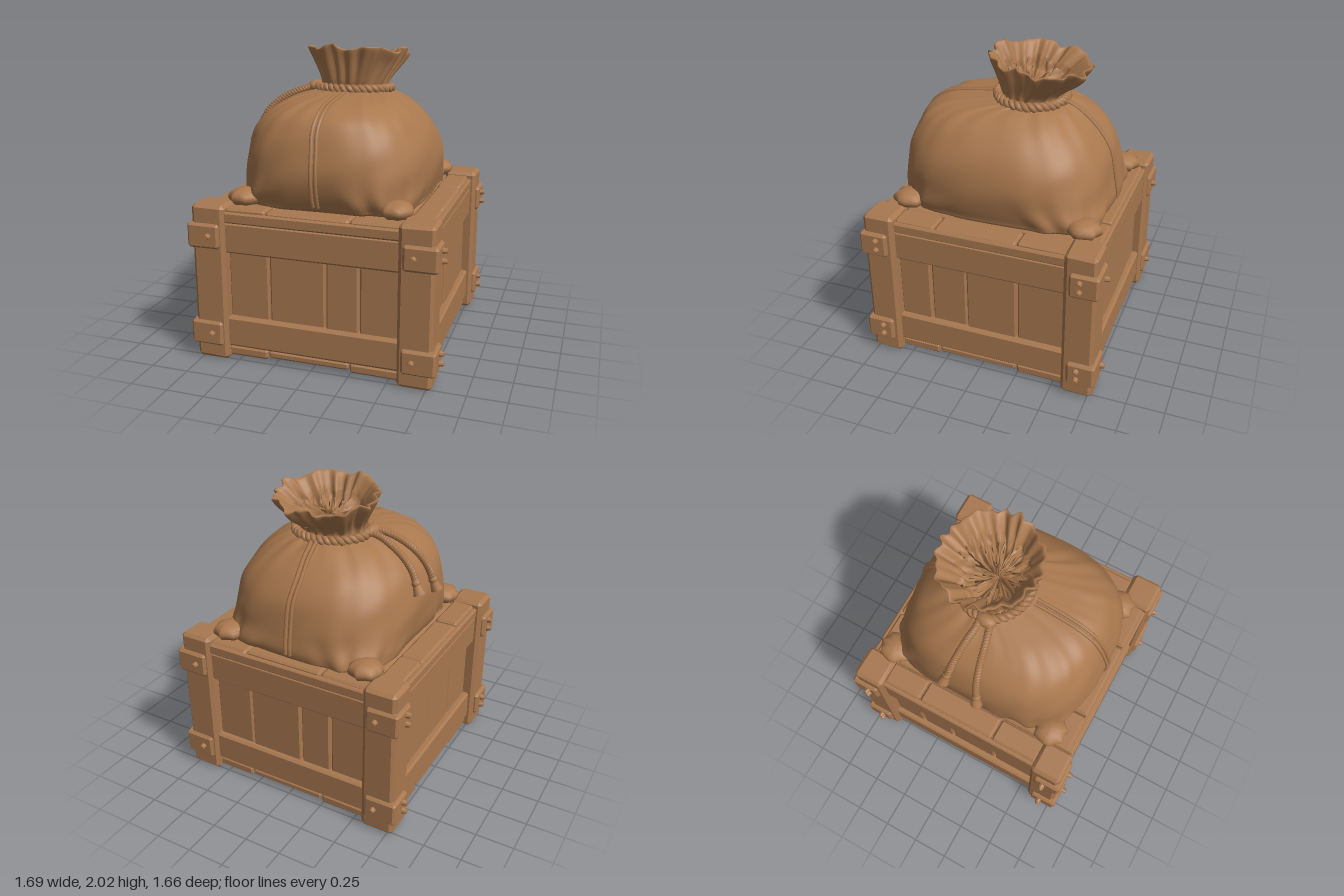
import * as THREE from 'three';
import { ConvexGeometry } from 'three/addons/geometries/ConvexGeometry.js';

let seed = 7;
const rnd = () => ((seed = (seed * 16807) % 2147483647) / 2147483647) - 0.5;

const wood = new THREE.MeshStandardMaterial({ color: 0xa87850 });
wood.name = 'wood';
const burlap = new THREE.MeshStandardMaterial({ color: 0xa9784e, side: THREE.DoubleSide });
burlap.name = 'burlap';

function add(parent, name, geometry, material) {
  const mesh = new THREE.Mesh(geometry, material);
  mesh.name = name;
  parent.add(mesh);
  return mesh;
}

// Hand-cut board: a chamfered box whose corners wander a little
function board(parent, name, [x0, x1], [y0, y1], [z0, z1], bevel = 0.012, wobble = 0.008) {
  const half = [(x1 - x0) / 2, (y1 - y0) / 2, (z1 - z0) / 2];
  const mid = [(x0 + x1) / 2, (y0 + y1) / 2, (z0 + z1) / 2];
  const pts = [];
  for (const sx of [-1, 1]) for (const sy of [-1, 1]) for (const sz of [-1, 1]) {
    const s = [sx, sy, sz];
    for (let k = 0; k < 3; k++) {
      const p = s.map((v, i) => mid[i] + v * (half[i] - (i === k ? 0 : bevel + Math.abs(rnd()) * wobble)));
      pts.push(new THREE.Vector3(...p));
    }
  }
  add(parent, name, new ConvexGeometry(pts), wood);
}

// One of the four crate sides, built facing +z
function crateSide(seams) {
  const g = new THREE.Group();
  g.name = 'crateSide';
  for (let i = 0; i < seams.length - 1; i++) {
    board(g, 'panelPlank', [seams[i] + 0.005, seams[i + 1] - 0.005], [0.25, 0.78], [0.64, 0.715 + rnd() * 0.01], 0.008);
  }
  board(g, 'topRail', [-0.59, 0.59], [0.735, 0.94], [0.66, 0.755]);
  board(g, 'bottomRail', [-0.59, 0.59], [0.09, 0.295], [0.66, 0.755]);
  // Rim boards lying over the rail and skids under it
  const cuts = [-0.58, -0.3, 0.25, 0.58];
  for (let i = 0; i < 3; i++) {
    const x = [cuts[i] + 0.004, cuts[i + 1] - 0.004];
    board(g, 'rimBoard', x, [0.94, 1.025 + rnd() * 0.012], [0.58, 0.735]);
    board(g, 'skid', x, [i === 1 ? 0.035 : 0.02, 0.088], [0.58, 0.74]);
  }
  board(g, 'rimStrip', [-0.58, 0.58], [0.935, 1.005], [0.72, 0.76], 0.008);
  return g;
}

// Corner post with two wrapped brackets and bolts
function cornerPost(sx, sz) {
  const g = new THREE.Group();
  g.name = 'cornerPost';
  const span = (s, a, b) => (s > 0 ? [a, b] : [-b, -a]);
  board(g, 'post', span(sx, 0.565, 0.79), [0, 1.05], span(sz, 0.57, 0.78), 0.02, 0.012);
  const bolt = (x, y, z, alongX) => {
    const geometry = new THREE.CylinderGeometry(0.014, 0.022, 0.035, 8).toNonIndexed();
    geometry.computeVertexNormals();
    const b = add(g, 'bolt', geometry, wood);
    b.position.set(x, y, z);
    if (alongX) b.rotation.z = -sx * Math.PI / 2;
    else b.rotation.x = sz * Math.PI / 2;
  };
  for (const y of [0.185, 0.85]) {
    board(g, 'bracket', span(sx, 0.595, 0.815), [y - 0.085, y + 0.08], span(sz, 0.61, 0.8), 0.014);
    bolt(sx * 0.665, y, sz * 0.812, false);
    for (const d of [-0.033, 0.033]) bolt(sx * 0.827, y + d, sz * 0.68, true);
  }
  return g;
}

// Sack rings from base to mouth lining: y, xMin, xMax, zMin, zMax, squareness, pleat depth
const RINGS = [
  [1.02, -0.30, 0.30, -0.35, 0.35, 3, 0],
  [1.02, -0.54, 0.55, -0.64, 0.60, 4.5, 0.01],
  [1.06, -0.58, 0.59, -0.69, 0.65, 4.2, 0.018],
  [1.16, -0.60, 0.615, -0.68, 0.69, 3.2, 0.012],
  [1.28, -0.605, 0.625, -0.665, 0.70, 2.8, 0.004],
  [1.40, -0.585, 0.60, -0.63, 0.68, 2.7, 0.003],
  [1.51, -0.54, 0.54, -0.56, 0.64, 2.6, 0.006],
  [1.60, -0.45, 0.46, -0.47, 0.58, 2.5, 0.015],
  [1.66, -0.35, 0.37, -0.39, 0.46, 2.3, 0.035],
  [1.69, -0.26, 0.29, -0.33, 0.27, 2.1, 0.05],
  [1.715, -0.21, 0.24, -0.29, 0.10, 2, 0.04],
  [1.77, -0.21, 0.25, -0.32, 0.10, 2, 0.06],
  [1.87, -0.26, 0.31, -0.42, 0.13, 2, 0.075],
  [1.95, -0.305, 0.36, -0.48, 0.165, 2, 0.06],
  [1.95, -0.28, 0.335, -0.455, 0.14, 2, 0.06],
  [1.87, -0.21, 0.26, -0.36, 0.09, 2, 0.09],
  [1.80, -0.16, 0.20, -0.28, 0.05, 2, 0.16],
  [1.77, 0.01, 0.03, -0.11, -0.09, 2, 0],
];
const LAST = RINGS.length - 1;

// Smooth blend between neighbouring rings
function ringAt(u) {
  const i = Math.min(Math.floor(u), LAST - 1), t = u - i;
  const at = k => RINGS[Math.max(0, Math.min(LAST, k))];
  return RINGS[i].map((_, c) => {
    const [a, b, d, e] = [at(i - 1)[c], at(i)[c], at(i + 1)[c], at(i + 2)[c]];
    return b + 0.5 * t * (d - a + t * (2 * a - 5 * b + 4 * d - e + t * (3 * (b - d) + e - a)));
  });
}

// Point on the sack at angle a and ring position u, optionally lifted off the cloth
function sackPoint(a, u, lift = 0) {
  const [y, x0, x1, z0, z1, n, pleat] = ringAt(u);
  const pow = v => Math.sign(v) * Math.pow(Math.abs(v), 2 / n);
  const fold = Math.sin(a * 15 + Math.sin(a * 4) * 1.6) * 0.6 + Math.sin(a * 23 + 1 + u * 0.4) * 0.4;
  const dent = 0.008 * Math.sin(a * 5 + u * 1.7) * Math.sin(u * 1.1 + a * 2);
  const k = 1 + pleat * fold + dent + lift / ((x1 - x0) / 2);
  const dx = pow(Math.cos(a)) * k * (x1 - x0) / 2;
  const dz = pow(Math.sin(a)) * k * (z1 - z0) / 2;
  // The mouth has a ragged rim and leans down towards the back
  const mouth = THREE.MathUtils.smoothstep(u, 10, 13);
  const ragged = 0.014 * Math.sin(a * 7 + 1) + 0.008 * Math.sin(a * 11);
  return new THREE.Vector3(
    (x0 + x1) / 2 + dx,
    y + mouth * (ragged + dz * 0.12) + lift * 0.6,
    (z0 + z1) / 2 + dz);
}

function sackGeometry() {
  const cols = 128, rows = LAST * 4, pos = [], idx = [];
  for (let j = 0; j <= rows; j++) for (let i = 0; i < cols; i++) {
    const u = j / 4, p = sackPoint(i / cols * Math.PI * 2, u);
    // Crumpled cloth deep inside the mouth
    if (u > 15) p.y += rnd() * 0.05;
    pos.push(p.x, p.y, p.z);
    if (j === rows) continue;
    const a = j * cols + i, b = j * cols + (i + 1) % cols;
    idx.push(a, a + cols, b, b, a + cols, b + cols);
  }
  const g = new THREE.BufferGeometry();
  g.setAttribute('position', new THREE.Float32BufferAttribute(pos, 3));
  g.setIndex(idx);
  g.computeVertexNormals();
  return g;
}

// Two strands twisted round a path
function rope(parent, name, points, closed, turns, r) {
  const path = new THREE.CatmullRomCurve3(points, closed), n = turns * 8;
  const f = path.computeFrenetFrames(n, closed);
  for (const phase of [0, Math.PI]) {
    const pts = [];
    for (let i = 0; i < (closed ? n : n + 1); i++) {
      const w = phase + i / n * turns * Math.PI * 2;
      pts.push(path.getPointAt(i / n)
        .addScaledVector(f.normals[i], Math.cos(w) * r * 0.7)
        .addScaledVector(f.binormals[i], Math.sin(w) * r * 0.7));
    }
    add(parent, name, new THREE.TubeGeometry(new THREE.CatmullRomCurve3(pts, closed), n * 2, r, 6, closed), burlap);
  }
}

export function createModel() {
  seed = 7;
  const model = new THREE.Group();
  model.name = 'sackOnCrate';

  // Crate
  const crate = new THREE.Group();
  crate.name = 'crate';
  model.add(crate);
  add(crate, 'crateCore', new THREE.BoxGeometry(1.32, 0.92, 1.32), wood).position.y = 0.52;
  for (let s = 0; s < 4; s++) {
    const side = crateSide(s % 2 ? [-0.58, -0.35, -0.1, 0.25, 0.58] : [-0.57, -0.29, 0.09, 0.31, 0.57]);
    side.rotation.y = s * Math.PI / 2;
    crate.add(side);
  }
  for (const sx of [-1, 1]) for (const sz of [-1, 1]) crate.add(cornerPost(sx, sz));
  for (let i = 0; i < 4; i++) {
    const x = [-0.571 + i * 0.2875, -0.2915 + i * 0.2875];
    board(crate, 'lidPlank', x, [0.95, 1.015], [-0.575, 0.575]);
    for (const z of [[-0.575, -0.2], [-0.19, 0.19], [0.2, 0.575]]) board(crate, 'floorPlank', x, [0.035, 0.09], z);
  }

  // Sack
  const sack = new THREE.Group();
  sack.name = 'sack';
  model.add(sack);
  add(sack, 'sackCloth', sackGeometry(), burlap);

  // Gathered ears at the base corners
  for (const sx of [-1, 1]) for (const sz of [-1, 1]) {
    const geometry = new THREE.SphereGeometry(0.11, 16, 10);
    const p = geometry.attributes.position;
    for (let i = 0; i < p.count; i++) {
      const k = 1 + 0.1 * Math.sin(Math.atan2(p.getZ(i), p.getX(i)) * 7);
      p.setXYZ(i, p.getX(i) * k, p.getY(i) * 0.55, p.getZ(i) * k);
    }
    geometry.computeVertexNormals();
    add(sack, 'sackEar', geometry, burlap).position.set(sx * 0.5, 1.07, sz * 0.59 - 0.02);
  }

  // Double seam ridges down the front and back
  for (const a of [Math.PI / 2, -Math.PI / 2]) for (const d of [-0.016, 0.016]) {
    const pts = [];
    for (let u = 2; u <= 9.5; u += 0.5) {
      const p = sackPoint(a, u, 0.002);
      p.x += d;
      pts.push(p);
    }
    add(sack, 'seam', new THREE.TubeGeometry(new THREE.CatmullRomCurve3(pts), 48, 0.013, 6), burlap);
  }

  // Rope round the neck, with a knot on the side
  const neck = [];
  for (let i = 0; i < 24; i++) {
    const a = i / 24 * Math.PI * 2;
    neck.push(new THREE.Vector3(0.015 + Math.cos(a) * 0.25, 1.71 + Math.sin(a) * 0.012, -0.1 + Math.sin(a) * 0.22));
  }
  rope(sack, 'neckRope', neck, true, 18, 0.02);
  const knot = add(sack, 'knot', new THREE.SphereGeometry(0.05, 12, 8), burlap);
  knot.position.set(-0.24, 1.715, -0.04);
  knot.scale.set(0.9, 0.8, 1.4);

  // Two hanging rope ends with tassels
  for (const [z, uEnd] of [[-0.13, 5.4], [0.09, 4.9]]) {
    const pts = [new THREE.Vector3(-0.23, 1.72, z * 0.3 - 0.04)];
    for (let i = 0; i <= 5; i++) {
      const p = sackPoint(Math.PI, 8.7 - (8.7 - uEnd) * i / 5, 0.022);
      p.z = -0.04 + (z + 0.04) * (0.4 + 0.6 * i / 5);
      pts.push(p);
    }
    rope(sack, 'ropeEnd', pts, false, 14, 0.015);
    const end = pts[6], dir = end.clone().sub(pts[5]).normalize();
    const tassel = add(sack, 'tassel', new THREE.CylinderGeometry(0.04, 0.018, 0.09, 9), burlap);
    tassel.position.copy(end).addScaledVector(dir, 0.03);
    tassel.quaternion.setFromUnitVectors(new THREE.Vector3(0, 1, 0), dir);
    add(sack, 'tasselKnot', new THREE.SphereGeometry(0.03, 10, 8), burlap).position.copy(end);
  }
  return model;
}
